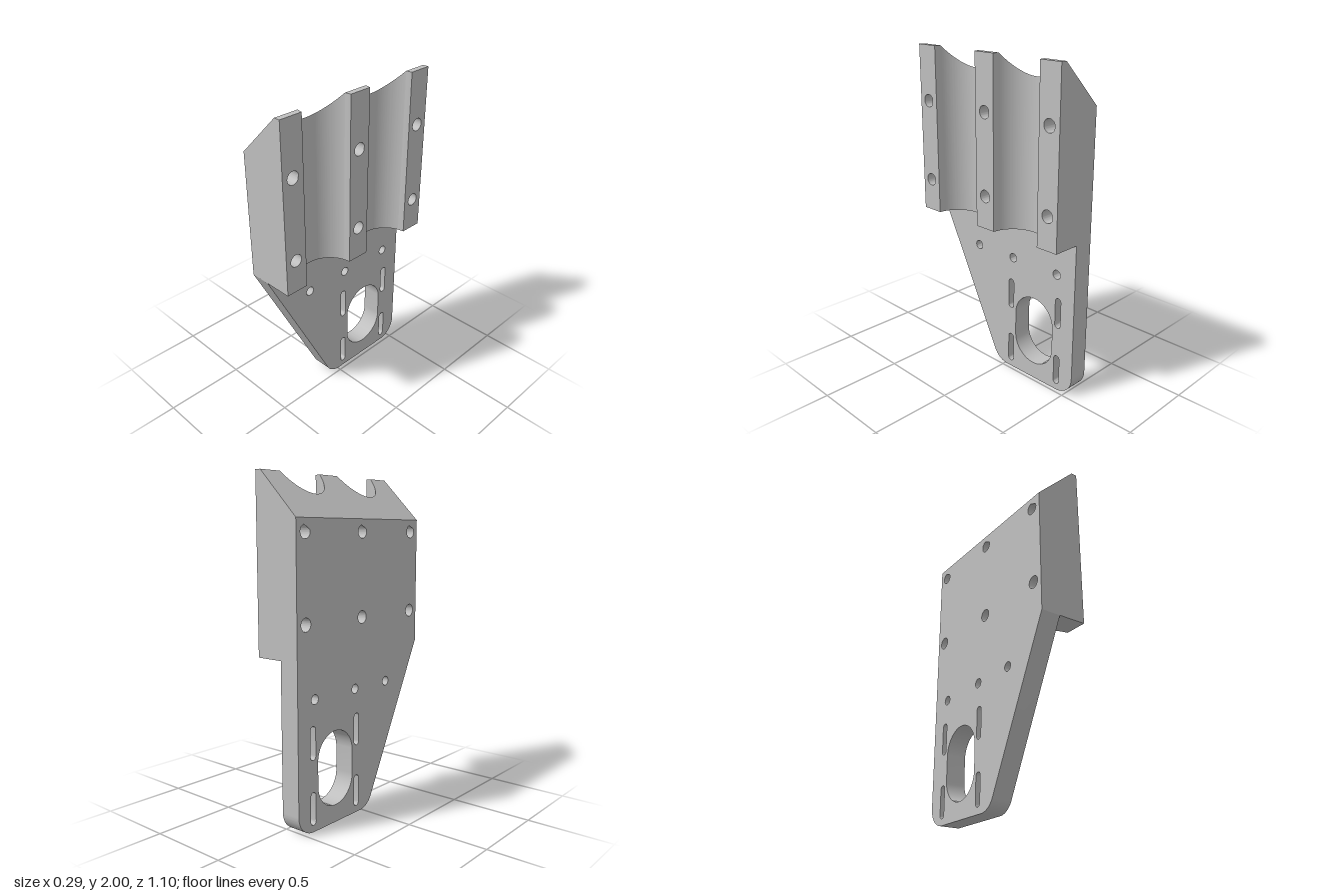
import * as THREE from 'three';
import { toCreasedNormals } from 'three/addons/utils/BufferGeometryUtils.js';

const BACK = -0.147, FRONT = 0.147, PLATE_FRONT = -0.024;
const TOP = 2, STEP_Y = 0.982, CHAMFER_Y = 1.745;
const CHAMFER_X = 0.11025; // seven eighths of the block's thickness
const HALF = 0.55;

// Channel circle: its half-width where the chamfer ends and at the front lip
const CHANNEL_Z = 0.24, CHANNEL_R = 0.169, CHANNEL_X = 0.157;
const halfWidth = (x) => Math.sqrt(CHANNEL_R ** 2 - (CHANNEL_X - x) ** 2);
const WIDTH = halfWidth(CHAMFER_X), LIP = halfWidth(FRONT);

function circle(u, y, r) {
  return new THREE.Path().absarc(u, y, r, 0, Math.PI * 2, false);
}

// Upright slot; y0 and y1 are the arc centres
function slot(u, y0, y1, r) {
  return new THREE.Path()
    .absarc(u, y1, r, 0, Math.PI, false)
    .absarc(u, y0, r, Math.PI, Math.PI * 2, false);
}

// Extrude a (-z, y) profile along x, starting from the back face
function extrudeX(shape, depth, steps = 1) {
  const g = new THREE.ExtrudeGeometry(shape, { depth, steps, bevelEnabled: false, curveSegments: 24 });
  return g.rotateY(Math.PI / 2).translate(BACK, 0, 0);
}

// Lower the top vertices onto the sloping back chamfer
function chamferTop(g) {
  const p = g.attributes.position;
  const slope = (TOP - CHAMFER_Y) / (CHAMFER_X - BACK);
  for (let i = 0; i < p.count; i++) {
    if (p.getY(i) > TOP - 0.001) p.setY(i, Math.min(TOP, CHAMFER_Y + (p.getX(i) - BACK) * slope));
  }
  return g;
}

// Narrow a rib's front end so that its sides finish the channel curve
function taperFront(g) {
  const p = g.attributes.position;
  for (let i = 0; i < p.count; i++) {
    const z = p.getZ(i), d = Math.abs(z) - CHANNEL_Z;
    if (p.getX(i) > FRONT - 0.001 && Math.abs(Math.abs(d) - WIDTH) < 0.001) {
      p.setZ(i, Math.sign(z) * (CHANNEL_Z + Math.sign(d) * LIP));
    }
  }
  return g;
}

export function createModel() {
  const group = new THREE.Group();
  const metal = new THREE.MeshStandardMaterial({ color: 0xc0c0c0 });
  metal.name = 'grey metal';
  const add = (name, g) => {
    const mesh = new THREE.Mesh(toCreasedNormals(g, 0.5), metal);
    mesh.name = name;
    group.add(mesh);
  };

  // Tapered mounting plate with rounded lower corners
  const r = 0.12, tilt = Math.atan2(1, 2);
  const plate = new THREE.Shape();
  plate.moveTo(HALF, STEP_Y);
  plate.lineTo(-HALF, STEP_Y);
  plate.absarc(0.014, r, r, Math.PI + tilt, Math.PI * 1.5, false);
  plate.absarc(HALF - r, r, r, Math.PI * 1.5, Math.PI * 2, false);
  for (const u of [-0.233, 0.064, 0.413]) plate.holes.push(circle(u, 0.763, 0.028));
  for (const u of [0.05, 0.43]) {
    plate.holes.push(slot(u, 0.061, 0.212, 0.021), slot(u, 0.441, 0.594, 0.021));
  }
  plate.holes.push(slot(0.24, 0.255, 0.4, 0.15));
  add('mountingPlate', extrudeX(plate, PLATE_FRONT - BACK));

  // Three full-depth ribs with screw holes
  const inner = CHANNEL_Z - WIDTH, outer = CHANNEL_Z + WIDTH;
  const ribs = [['leftRib', -HALF, -outer, -0.48], ['middleRib', -inner, inner, 0], ['rightRib', outer, HALF, 0.48]];
  for (const [name, u0, u1, hole] of ribs) {
    const s = new THREE.Shape();
    s.moveTo(u0, STEP_Y);
    s.lineTo(u1, STEP_Y);
    s.lineTo(u1, TOP);
    s.lineTo(u0, TOP);
    for (const y of [1.181, 1.673]) s.holes.push(circle(hole, y, 0.038));
    add(name, taperFront(chamferTop(extrudeX(s, FRONT - BACK, 8))));
  }

  // Two half-round channels between the ribs
  const a = Math.acos((CHAMFER_X - CHANNEL_X) / CHANNEL_R);
  const c = new THREE.Shape();
  c.moveTo(BACK, WIDTH);
  c.lineTo(BACK, -WIDTH);
  c.absarc(CHANNEL_X, 0, CHANNEL_R, -a, a, true);
  for (const [name, z] of [['frontChannel', CHANNEL_Z], ['rearChannel', -CHANNEL_Z]]) {
    const g = new THREE.ExtrudeGeometry(c, { depth: TOP - STEP_Y, bevelEnabled: false, curveSegments: 40 });
    g.rotateX(-Math.PI / 2).translate(0, STEP_Y, z);
    add(name, chamferTop(g));
  }
  return group;
}
